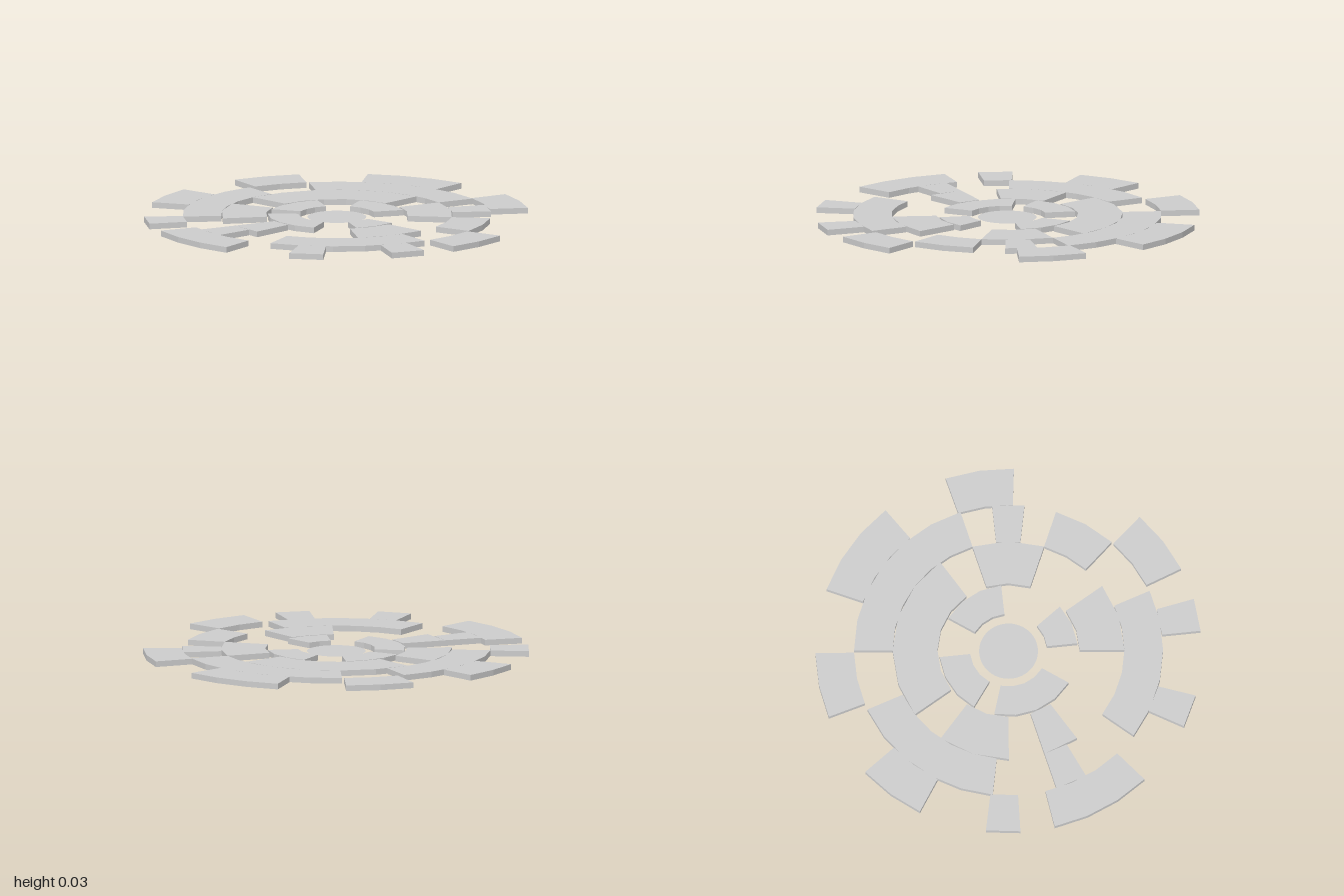
import * as THREE from 'three';

const THICKNESS = 0.03;
const material = new THREE.MeshStandardMaterial({ color: 0xcccccc, flatShading: true });

// Each ring is split into equal steps; plates run from one step to another.
const rings = [
  { name: 'innerRing', inner: 0.201, outer: 0.36, steps: 20, offset: 0,
    plates: [[2, 4], [6, 10], [11, 14], [16, 19]] },
  { name: 'secondRing', inner: 0.37, outer: 0.603, steps: 20, offset: 6,
    plates: [[2, 4], [7, 8], [9, 11], [12, 17], [18, 20]] },
  { name: 'thirdRing', inner: 0.603, outer: 0.804, steps: 30, offset: 6,
    plates: [[0, 2], [4, 9], [11, 12], [14, 19], [21, 27], [28, 29]] },
  { name: 'outerRing', inner: 0.804, outer: 1.005, steps: 35, offset: 0,
    plates: [[3, 5], [6, 7], [9, 10], [12, 15], [16, 17], [19, 21], [23, 25], [27, 30], [32, 34]] },
];

// Flat faceted arc plate; angles run from +x towards +z
function arcPlate({ inner, outer, steps, offset }, from, to) {
  const rim = (r) => Array.from({ length: to - from + 1 }, (_, i) => {
    const a = THREE.MathUtils.degToRad(offset + (from + i) * 360 / steps);
    return new THREE.Vector2(r * Math.cos(a), r * Math.sin(a));
  });
  const shape = new THREE.Shape([...rim(outer), ...rim(inner).reverse()]);
  const geometry = new THREE.ExtrudeGeometry(shape, { depth: THICKNESS, bevelEnabled: false });
  return geometry.rotateX(Math.PI / 2).translate(0, THICKNESS, 0);
}

export function createModel() {
  const model = new THREE.Group();
  model.name = 'segmentedDisc';

  // Concentric broken rings
  for (const ring of rings) {
    const group = new THREE.Group();
    group.name = ring.name;
    ring.plates.forEach(([from, to], i) => {
      const plate = new THREE.Mesh(arcPlate(ring, from, to), material);
      plate.name = `${ring.name}Plate${i + 1}`;
      group.add(plate);
    });
    model.add(group);
  }

  // Paper-thin disc in the middle
  const discMaterial = new THREE.MeshStandardMaterial({ color: 0xcccccc, side: THREE.DoubleSide });
  const disc = new THREE.Mesh(new THREE.CircleGeometry(0.153, 64).rotateX(-Math.PI / 2), discMaterial);
  disc.name = 'centreDisc';
  disc.position.y = THICKNESS / 2;
  model.add(disc);

  // The plates are uneven, so shift the whole to centre it
  model.position.set(0.006, 0, -0.004);
  return model;
}
